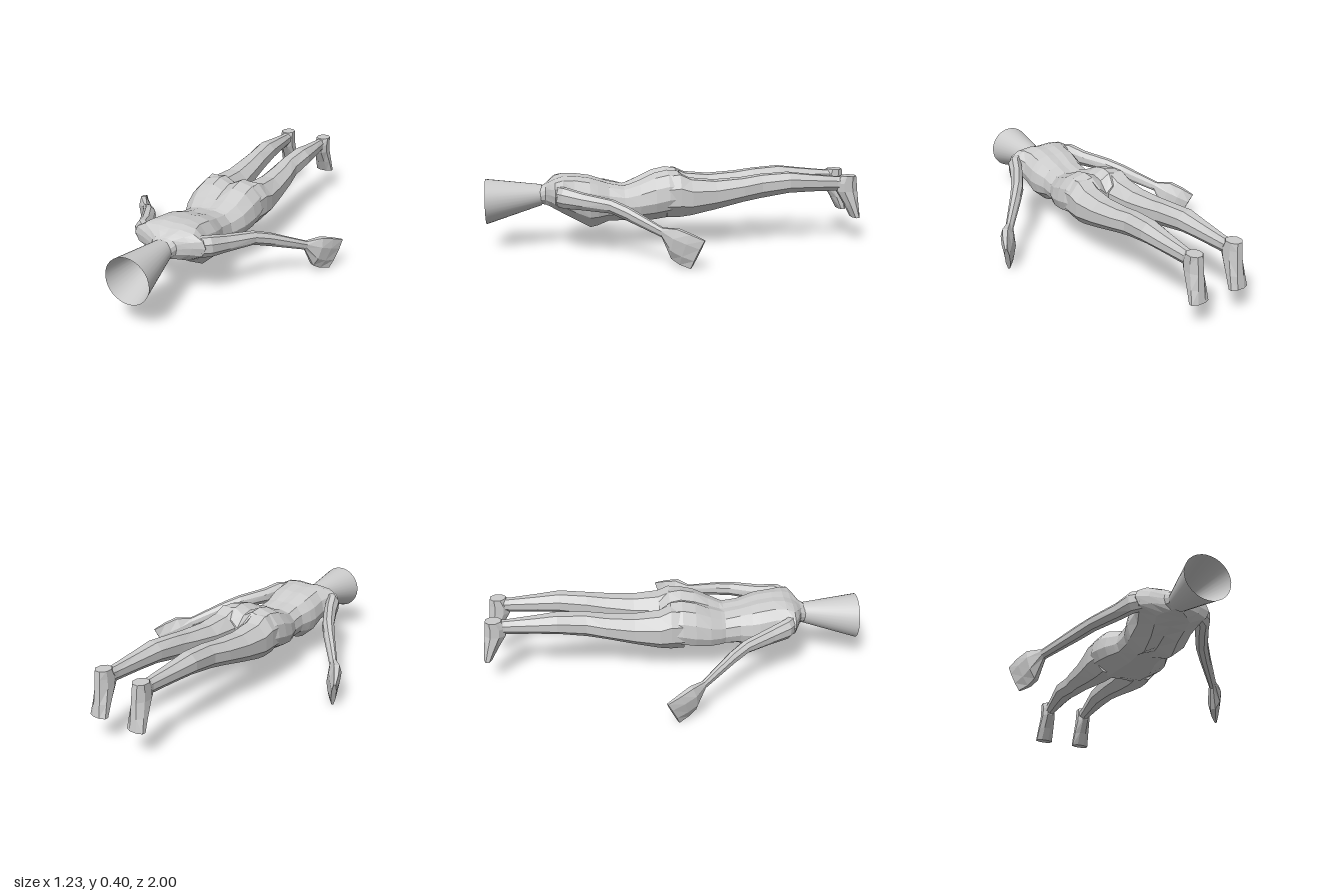
import * as THREE from 'three';

const material = new THREE.MeshStandardMaterial({ color: 0xcccccc, flatShading: true });
const openMaterial = new THREE.MeshStandardMaterial({ color: 0xcccccc, side: THREE.DoubleSide });

// Skin a list of equal-sized rings of [x, y, z]; faces are turned outward by signed volume
function loft(name, rings, capStart = true, capEnd = true) {
  const n = rings[0].length;
  const points = rings.flat().map((p) => new THREE.Vector3(...p));
  const index = [];
  for (let i = 0; i < rings.length - 1; i++) {
    for (let j = 0; j < n; j++) {
      const a = i * n + j, b = i * n + (j + 1) % n;
      index.push(a, b, b + n, a, b + n, a + n);
    }
  }
  const cap = (start, reverse) => {
    const centre = new THREE.Vector3();
    for (let j = 0; j < n; j++) centre.addScaledVector(points[start + j], 1 / n);
    const c = points.push(centre) - 1;
    for (let j = 0; j < n; j++) {
      const a = start + j, b = start + (j + 1) % n;
      index.push(...(reverse ? [c, b, a] : [c, a, b]));
    }
  };
  if (capStart) cap(0, true);
  if (capEnd) cap((rings.length - 1) * n, false);

  const origin = points[0];
  let volume = 0;
  for (let i = 0; i < index.length; i += 3) {
    const [a, b, c] = [0, 1, 2].map((k) => points[index[i + k]].clone().sub(origin));
    volume += a.dot(b.cross(c));
  }
  if (volume < 0) index.reverse();

  const geometry = new THREE.BufferGeometry().setFromPoints(points);
  geometry.setIndex(index);
  geometry.computeVertexNormals();
  const mesh = new THREE.Mesh(geometry, material);
  mesh.name = name;
  return mesh;
}

// Ring around a centre, spanned by two half-axis vectors
function ring(c, u, v, sides = 8) {
  return Array.from({ length: sides }, (_, k) => {
    const t = ((k + 0.5) / sides) * Math.PI * 2;
    const grow = 1 / Math.cos(Math.PI / sides);
    const a = Math.cos(t) * grow, b = Math.sin(t) * grow;
    return c.map((q, i) => q + u[i] * a + v[i] * b);
  });
}

// Torso section: z, half width, back centre, back mid, side, front mid, front centre heights
function torsoRing([z, w, backC, backM, side, frontM, frontC]) {
  const half = [
    [0.3 * w, backM],
    [0.68 * w, backM * 0.88 + side * 0.12],
    [0.93 * w, backM * 0.5 + side * 0.5],
    [w, side],
    [0.9 * w, side * 0.5 + frontM * 0.5],
    [0.45 * w, frontM],
  ];
  const mirrored = half.map(([x, y]) => [-x, y]).reverse();
  return [[0, backC], ...half, [0, frontC], ...mirrored].map(([x, y]) => [x, y, z]);
}

const torsoSections = [
  [0.72, 0.055, 0.325, 0.32, 0.28, 0.235, 0.23],
  [0.69, 0.07, 0.335, 0.335, 0.29, 0.23, 0.225],
  [0.665, 0.14, 0.35, 0.355, 0.3, 0.225, 0.22],
  [0.64, 0.2, 0.365, 0.37, 0.3, 0.215, 0.21],
  [0.6, 0.18, 0.378, 0.382, 0.29, 0.19, 0.195],
  [0.54, 0.16, 0.378, 0.382, 0.26, 0.155, 0.175],
  [0.46, 0.163, 0.365, 0.37, 0.24, 0.11, 0.15],
  [0.42, 0.157, 0.353, 0.357, 0.235, 0.118, 0.145],
  [0.36, 0.14, 0.332, 0.337, 0.23, 0.14, 0.14],
  [0.28, 0.145, 0.318, 0.322, 0.225, 0.14, 0.135],
  [0.26, 0.155, 0.318, 0.328, 0.225, 0.138, 0.133],
  [0.2, 0.18, 0.338, 0.352, 0.235, 0.138, 0.133],
  [0.12, 0.194, 0.365, 0.39, 0.25, 0.145, 0.14],
  [0.05, 0.196, 0.378, 0.405, 0.265, 0.155, 0.155],
  [-0.01, 0.186, 0.365, 0.397, 0.27, 0.17, 0.175],
  [-0.065, 0.13, 0.31, 0.345, 0.27, 0.2, 0.22],
];

// Leg section: z, inner x, outer x, low y, high y
const legSections = [
  [0.06, 0.01, 0.185, 0.165, 0.38],
  [-0.01, 0.01, 0.194, 0.165, 0.39],
  [-0.07, 0.015, 0.195, 0.173, 0.362],
  [-0.2, 0.027, 0.185, 0.2, 0.35],
  [-0.35, 0.037, 0.175, 0.235, 0.36],
  [-0.45, 0.045, 0.161, 0.252, 0.374],
  [-0.6, 0.053, 0.17, 0.277, 0.384],
  [-0.72, 0.068, 0.157, 0.28, 0.37],
  [-0.87, 0.085, 0.14, 0.28, 0.355],
  [-0.93, 0.085, 0.145, 0.285, 0.355],
];

// Foot section: y, inner x, outer x, sole z, instep z
const footSections = [
  [0.36, 0.082, 0.155, -0.972, -0.89],
  [0.32, 0.08, 0.155, -0.977, -0.868],
  [0.275, 0.078, 0.155, -0.982, -0.872],
  [0.2, 0.073, 0.162, -0.991, -0.918],
  [0.132, 0.07, 0.168, -1.0, -0.955],
];

// Arm section: centre, half thickness, half height vector
const armSections = [
  [[0.15, 0.295, 0.625], 0.035, [0, 0.05, 0]],
  [[0.19, 0.293, 0.59], 0.036, [0, 0.052, 0]],
  [[0.23, 0.28, 0.5], 0.034, [0, 0.042, 0]],
  [[0.305, 0.266, 0.36], 0.031, [0.004, 0.034, 0]],
  [[0.36, 0.238, 0.285], 0.027, [0.004, 0.034, 0]],
  [[0.485, 0.168, 0.13], 0.018, [0.005, 0.024, 0]],
  [[0.525, 0.12, 0.075], 0.033, [0.02, 0.078, -0.01]],
  [[0.555, 0.096, 0.025], 0.026, [0.026, 0.08, -0.022]],
  [[0.588, 0.076, -0.028], 0.012, [0.022, 0.074, -0.03]],
];

export function createModel() {
  const model = new THREE.Group();
  model.name = 'lyingFigure';

  // Torso, left open at the neck
  model.add(loft('torso', torsoSections.map(torsoRing), false, true));

  // Open flared cone in place of a head
  const cone = new THREE.CylinderGeometry(0.119, 0.055, 0.29, 32, 1, true);
  cone.rotateX(Math.PI / 2);
  const position = cone.attributes.position;
  for (let i = 0; i < position.count; i++) {
    const z = position.getZ(i) + 0.855;
    position.setXYZ(i, position.getX(i), position.getY(i) + 0.278 - (z - 0.71) * 0.1, z);
  }
  cone.computeVertexNormals();
  const head = new THREE.Mesh(cone, openMaterial);
  head.name = 'headCone';
  model.add(head);

  // Mirrored limbs
  for (const [s, side] of [[1, 'left'], [-1, 'right']]) {
    model.add(loft(`${side}Leg`, legSections.map(([z, x0, x1, y0, y1]) =>
      ring([s * (x0 + x1) / 2, (y0 + y1) / 2, z], [s * (x1 - x0) / 2, 0, 0], [0, (y1 - y0) / 2, 0]))));

    model.add(loft(`${side}Foot`, footSections.map(([y, x0, x1, z0, z1]) =>
      ring([s * (x0 + x1) / 2, y, (z0 + z1) / 2], [s * (x1 - x0) / 2, 0, 0], [0, 0, (z1 - z0) / 2]))));

    model.add(loft(`${side}Arm`, armSections.map(([[x, y, z], t, [vx, vy, vz]]) =>
      ring([s * x, y, z], [s * 0.84 * t, 0, 0.55 * t], [s * vx, vy, vz]))));
  }
  return model;
}
